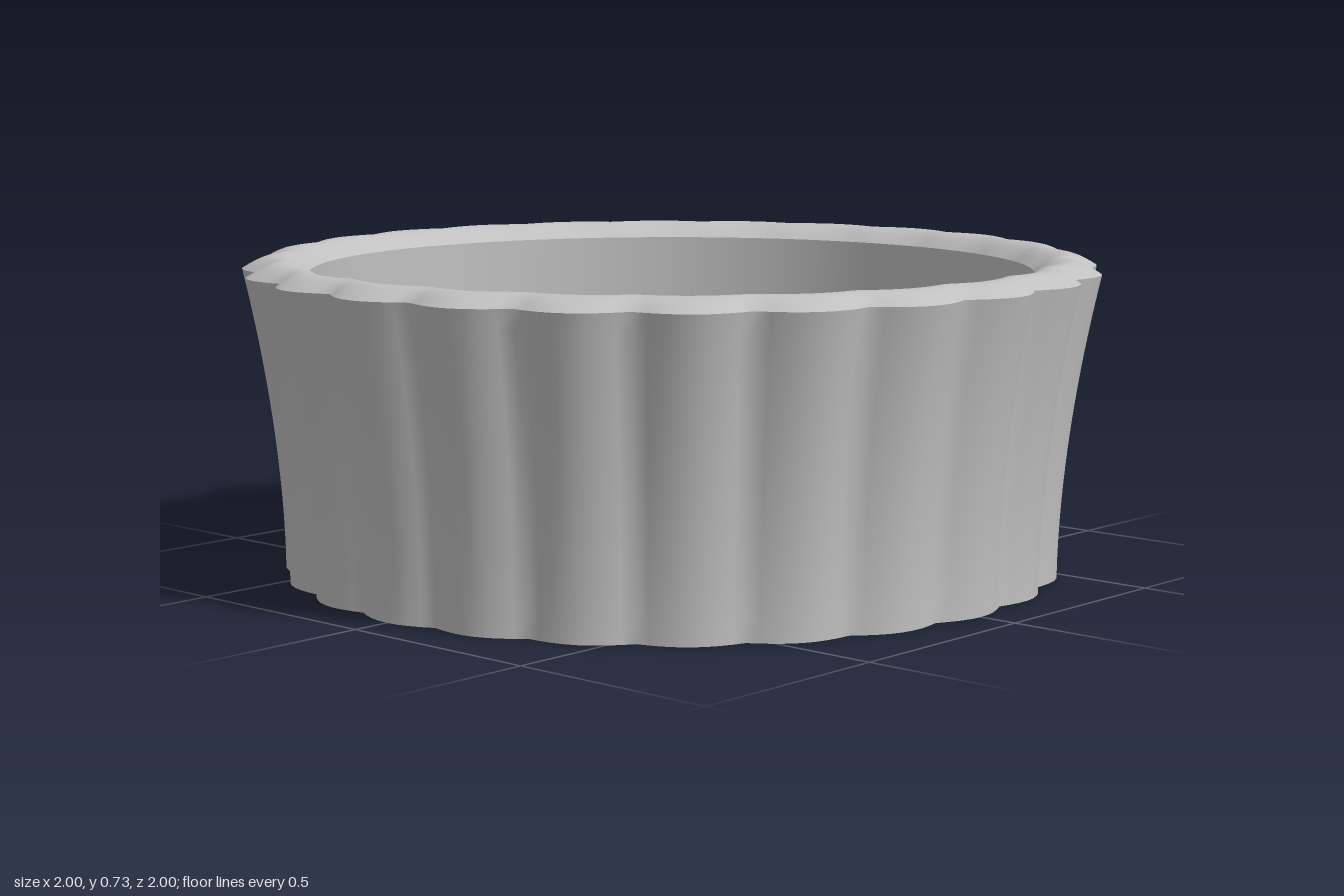
import * as THREE from 'three';
import { toCreasedNormals } from 'three/addons/utils/BufferGeometryUtils.js';

const LOBES = 24, SEGMENTS = LOBES * 8;
const EDGE_Y = 0.705, INNER_R = 0.843, FLOOR_Y = 0.055;

// Fluted outer radius: flares towards the top, with deeper flutes there
function outerRadius(angle, y) {
  const k = y / EDGE_Y;
  const peak = 0.91 + 0.09 * Math.pow(k, 1.8);
  const depth = 0.028 + 0.017 * k;
  return peak - depth * (1 - Math.abs(Math.cos(angle * LOBES / 2)));
}

// Sweep a profile around y; profile(t, angle) returns [radius, height]
function sweep(profile, steps, crease) {
  const positions = [], index = [], row = SEGMENTS + 1;
  for (let j = 0; j <= steps; j++) {
    for (let i = 0; i <= SEGMENTS; i++) {
      const angle = (i % SEGMENTS) / SEGMENTS * Math.PI * 2;
      const [r, y] = profile(j / steps, angle);
      positions.push(r * Math.sin(angle), y, r * Math.cos(angle));
    }
  }
  for (let j = 0; j < steps; j++) {
    for (let i = 0; i < SEGMENTS; i++) {
      const a = j * row + i, b = a + 1, c = b + row, d = a + row;
      index.push(a, b, c, a, c, d);
    }
  }
  const geometry = new THREE.BufferGeometry();
  geometry.setAttribute('position', new THREE.Float32BufferAttribute(positions, 3));
  geometry.setIndex(index);
  return toCreasedNormals(geometry, crease);
}

export function createModel() {
  const group = new THREE.Group();
  group.name = 'flutedDish';
  const grey = new THREE.MeshStandardMaterial({ color: 0xc0c0c0 });
  grey.name = 'grey';

  const add = (name, geometry) => {
    const mesh = new THREE.Mesh(geometry, grey);
    mesh.name = name;
    group.add(mesh);
    return mesh;
  };

  // Flared, fluted outside; the grooves become sharp only near the top
  add('outerWall', sweep((t, a) => [outerRadius(a, t * EDGE_Y), t * EDGE_Y], 16, 0.96));

  // Rounded rim from the fluted edge to the round opening
  add('rim', sweep((t, a) => [
    THREE.MathUtils.lerp(outerRadius(a, EDGE_Y), INNER_R, t),
    EDGE_Y - 0.007 * t + 0.033 * Math.sin(Math.PI * t),
  ], 12, 1.2));

  // Straight inside wall
  add('innerWall', sweep((t) => [INNER_R, THREE.MathUtils.lerp(EDGE_Y - 0.007, FLOOR_Y, t)], 1, 1));

  // Flat inside floor
  const floor = add('floor', new THREE.CircleGeometry(INNER_R, SEGMENTS));
  floor.rotation.x = -Math.PI / 2;
  floor.position.y = FLOOR_Y;

  // Flat underside with a fluted outline
  add('base', sweep((t, a) => [t * outerRadius(a, 0), 0], 1, 1));

  return group;
}
